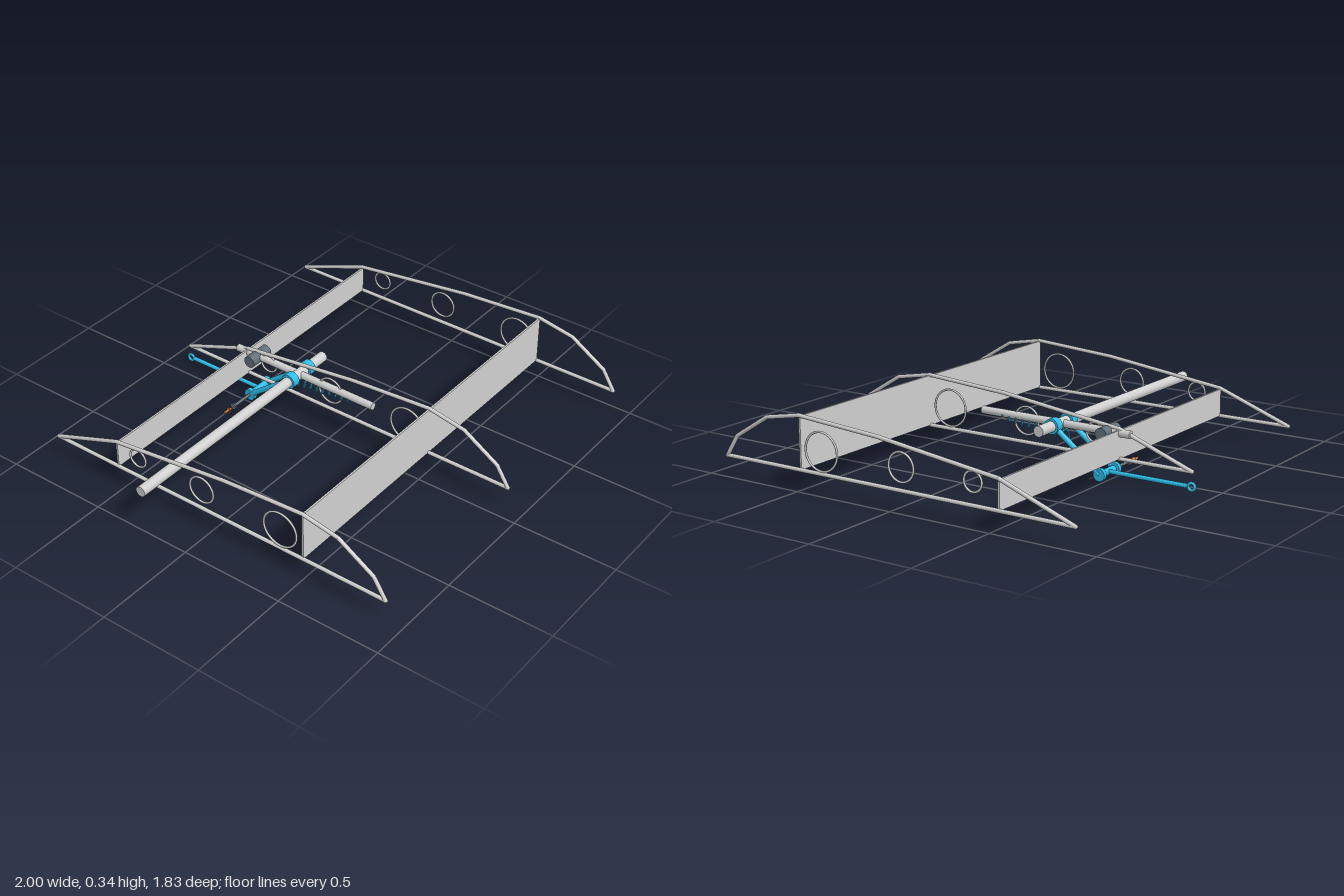
import * as THREE from 'three';

const mat = (name, color) => {
  const m = new THREE.MeshStandardMaterial({ color });
  m.name = name;
  return m;
};

export function createModel() {
  const model = new THREE.Group();
  model.name = 'wingFrame';
  const grey = mat('aluminium grey', 0xd0d0d0);
  const teal = mat('teal', 0x2fbde8);
  const slate = mat('dark slate', 0x62707b);
  const copper = mat('copper', 0xd2773c);
  const V = (x, y, z) => new THREE.Vector3(x, y, z);

  const add = (name, geometry, material, parent = model) => {
    const mesh = new THREE.Mesh(geometry, material);
    mesh.name = name;
    parent.add(mesh);
    return mesh;
  };

  // Cylinder (or cone) running between two points
  const rod = (name, a, b, r, material, parent = model, rEnd = r) => {
    const dir = b.clone().sub(a);
    const mesh = add(name, new THREE.CylinderGeometry(rEnd, r, dir.length(), 20), material, parent);
    mesh.position.copy(a).add(b).multiplyScalar(0.5);
    mesh.quaternion.setFromUnitVectors(V(0, 1, 0), dir.normalize());
  };

  // Ring whose axis runs along x
  const ring = (name, x, y, z, r, tube, material, parent = model) => {
    const mesh = add(name, new THREE.TorusGeometry(r, tube, 8, 40), material, parent);
    mesh.rotation.y = Math.PI / 2;
    mesh.position.set(x, y, z);
  };

  // Ribs: tubular airfoil outline with lightening rings, points are [z, y]
  const outline = [[0.907, 0.095], [0.847, 0.19], [0.67, 0.3], [0.488, 0.334],
    [0.07, 0.306], [-0.537, 0.23], [-0.897, 0.097]];
  const holes = [[0.37, 0.193, 0.086], [-0.053, 0.196, 0.064], [-0.413, 0.196, 0.044]];
  const ribX = [-0.82, 0.084, 0.988];
  for (const x of ribX) {
    const rib = new THREE.Group();
    rib.name = 'rib';
    model.add(rib);
    outline.forEach(([z, y], i) => {
      const [z2, y2] = outline[(i + 1) % outline.length];
      rod('ribTube', V(x, y, z), V(x, y2, z2), 0.0092, grey, rib);
      add('ribJoint', new THREE.SphereGeometry(0.0092, 14, 10), grey, rib).position.set(x, y, z);
    });
    for (const [z, y, r] of holes) ring('lighteningRing', x, y, z, r, 0.005, grey, rib);
  }

  // Spars: thin webs joining the ribs
  for (const [name, z, top] of [['frontSpar', 0.487, 0.332], ['rearSpar', -0.537, 0.226]]) {
    const h = top - 0.096;
    add(name, new THREE.BoxGeometry(ribX[2] - ribX[0], h, 0.009), grey)
      .position.set((ribX[0] + ribX[2]) / 2, 0.096 + h / 2, z);
  }

  // Long cross tube and the tube along the middle rib
  const midX = ribX[1];
  const pivot = { y: 0.212, z: -0.236 };
  const hub = { y: 0.029, z: -0.477 };
  rod('crossTube', V(-1, pivot.y, pivot.z), V(0.264, pivot.y, pivot.z), 0.025, grey);
  rod('centreTube', V(midX, 0.212, 0.185), V(midX, 0.212, -0.595), 0.018, grey);

  // Dark roller on the centre tube
  rod('roller', V(0.02, 0.21, -0.479), V(0.147, 0.21, -0.479), 0.029, slate);

  // Bell crank: collars on the cross tube, arms and lower hub
  for (const x of [0.022, 0.144]) {
    rod('collar', V(x - 0.02, pivot.y, pivot.z), V(x + 0.02, pivot.y, pivot.z), 0.036, teal);
    rod('crankArm', V(x, pivot.y, pivot.z), V(x, hub.y, hub.z), 0.013, teal);
    rod('hubCollar', V(x - 0.01, hub.y, hub.z), V(x + 0.01, hub.y, hub.z), 0.029, teal);
  }
  rod('hubTube', V(0.012, hub.y, hub.z), V(0.154, hub.y, hub.z), 0.016, teal);

  // Push rod with an eye at its tail
  rod('pushRod', V(midX, 0.031, hub.z), V(midX, 0.031, -0.88), 0.01, teal);
  ring('rodEye', midX, 0.031, -0.896, 0.016, 0.0068, teal);

  // Return spring below the centre tube
  const turns = 10, points = [];
  for (let i = 0; i <= turns * 16; i++) {
    const t = i / (turns * 16), a = t * turns * Math.PI * 2;
    points.push(V(midX + 0.016 * Math.cos(a), 0.203 - 0.041 * t + 0.02 * Math.sin(a), 0.07 - 0.355 * t));
  }
  add('spring', new THREE.TubeGeometry(new THREE.CatmullRomCurve3(points), 320, 0.0038, 6), teal);

  // Bolt entering the hub, with its direction arrow and axis mark
  const alongX = (name, x1, x2, r, material, rEnd) =>
    rod(name, V(x1, 0.031, hub.z), V(x2, 0.031, hub.z), r, material, model, rEnd);
  alongX('boltHead', -0.108, -0.1, 0.016, slate);
  alongX('boltShank', -0.1, 0.02, 0.007, slate);
  alongX('arrowShaft', -0.17, -0.14, 0.0055, copper);
  alongX('arrowHead', -0.14, -0.114, 0.012, copper, 0);
  alongX('axisMark', 0.203, 0.23, 0.002, grey);
  return model;
}
